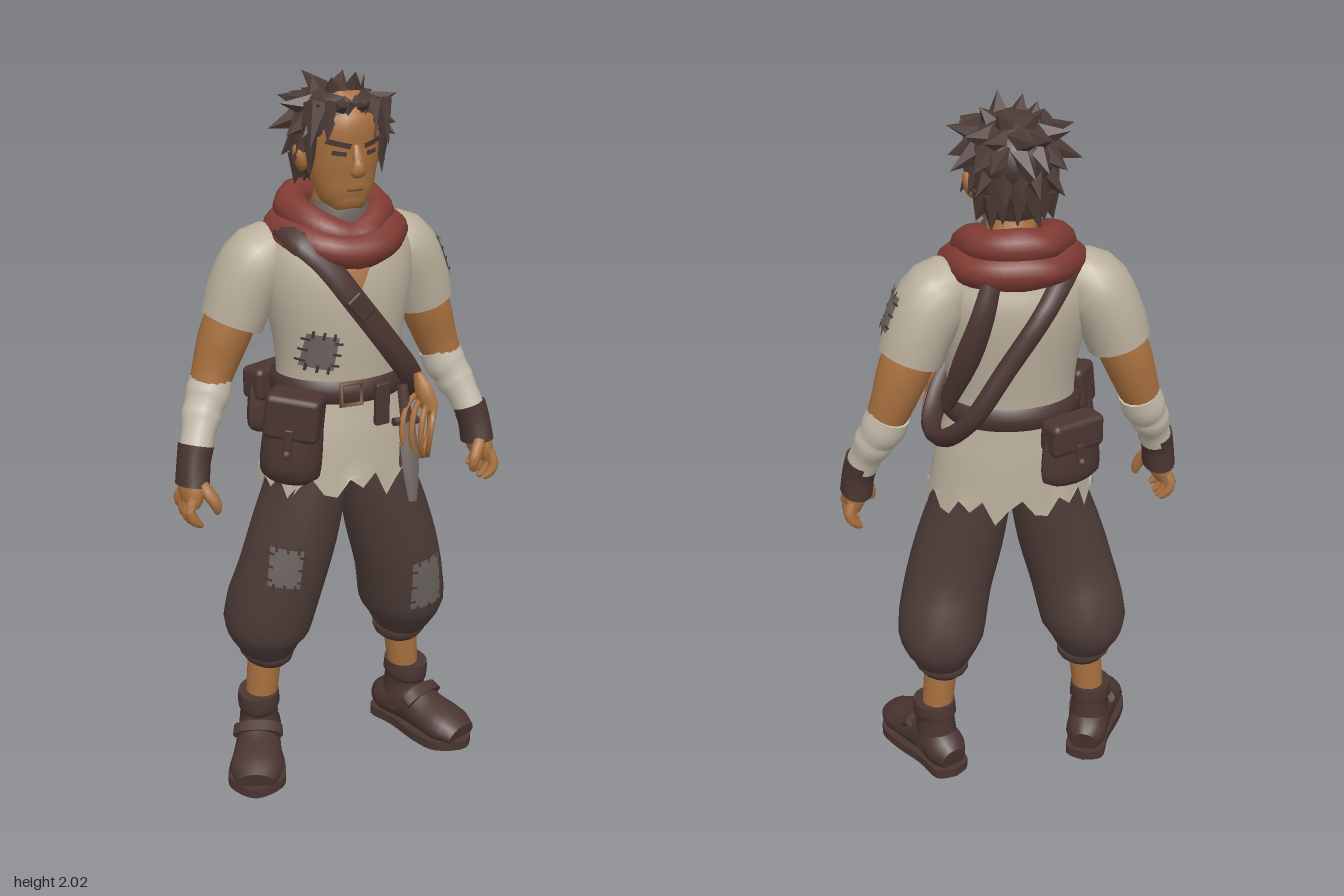
import * as THREE from 'three';
import { toCreasedNormals } from 'three/addons/utils/BufferGeometryUtils.js';
import { RoundedBoxGeometry } from 'three/addons/geometries/RoundedBoxGeometry.js';

const V = (x, y, z) => new THREE.Vector3(x, y, z);
const mat = (name, color) => {
  const m = new THREE.MeshStandardMaterial({ color, side: THREE.DoubleSide });
  m.name = name;
  return m;
};

// Elliptical cross-sections swept along a curve; each row is [x, y, z, side radius, ref radius]
function loft(rows, { n = 16, steps = 3, ref = V(0, 0, 1), closed = false, caps = true, jag = null } = {}) {
  const path = new THREE.CatmullRomCurve3(rows.map(r => V(r[0], r[1], r[2])), closed);
  const radii = new THREE.CatmullRomCurve3(rows.map(r => V(r[3], r[4] ?? r[3], 0)), closed, 'catmullrom');
  const total = (closed ? rows.length : rows.length - 1) * steps;
  const pos = [], idx = [];
  for (let i = 0; i <= total; i++) {
    const p = path.getPoint(i / total), r = radii.getPoint(i / total), t = path.getTangent(i / total);
    const b = (typeof ref === 'function' ? ref(p) : ref.clone()).addScaledVector(t, 0);
    b.addScaledVector(t, -b.dot(t)).normalize();
    const a = b.clone().cross(t);
    for (let j = 0; j < n; j++) {
      const w = j / n * Math.PI * 2;
      const q = p.clone().addScaledVector(a, Math.cos(w) * Math.max(r.x, 0.002)).addScaledVector(b, Math.sin(w) * Math.max(r.y, 0.002));
      if (jag && i === 0) q.y += jag[j % jag.length];
      pos.push(q.x, q.y, q.z);
    }
  }
  for (let i = 0; i < total; i++) for (let j = 0; j < n; j++) {
    const k = (j + 1) % n, A = i * n + j, B = i * n + k, C = A + n, D = B + n;
    idx.push(A, B, D, A, D, C);
  }
  if (caps && !closed) for (let j = 1; j < n - 1; j++) {
    idx.push(0, j + 1, j, total * n, total * n + j, total * n + j + 1);
  }
  const g = new THREE.BufferGeometry();
  g.setAttribute('position', new THREE.Float32BufferAttribute(pos, 3));
  g.setIndex(idx);
  return toCreasedNormals(g, 0.9);
}

export function createModel() {
  const model = new THREE.Group();
  const skin = mat('skin', 0xa9713f), hairMat = mat('dark hair', 0x4b3a35), cloth = mat('cream cloth', 0xb9ae9b);
  const pantsMat = mat('brown trousers', 0x4d3c38), leather = mat('leather', 0x4a3531), red = mat('red scarf cloth', 0x7f3b33);
  const grey = mat('grey patch cloth', 0x6c645f), ropeMat = mat('rope', 0xa9703d), wrapMat = mat('pale wrap', 0xc6bdad);
  const brass = mat('dull brass', 0x6b4d36);
  const add = (name, geo, m, parent = model) => {
    const mesh = new THREE.Mesh(geo, m);
    mesh.name = name;
    parent.add(mesh);
    return mesh;
  };
  const mir = (rows, s) => rows.map(([x, ...r]) => [x * s, ...r]);

  // Thin plate laid on a surface: a small grid projected along dir
  function patch(name, target, c, dir, w, h, roll, m, { foot = 1, lift = 0.005, stitch = false } = {}) {
    const d = dir.clone().normalize(), N = 6;
    const u = d.clone().cross(V(0, 1, 0)).normalize().applyAxisAngle(d, -roll), v = u.clone().cross(d);
    const ray = new THREE.Raycaster(), g = new THREE.PlaneGeometry(1, 1, N, N), p = g.attributes.position;
    const centre = c.clone().addScaledVector(d, -0.4);
    let last = 0.4;
    for (let i = 0; i < p.count; i++) {
      const y = p.getY(i), x = p.getX(i) * (foot + (1 - foot) * (y + 0.5));
      const o = centre.clone().addScaledVector(u, x * w).addScaledVector(v, y * h);
      ray.set(o, d);
      const hit = ray.intersectObject(target)[0];
      if (hit) last = hit.distance;
      o.addScaledVector(d, last - lift);
      p.setXYZ(i, o.x, o.y, o.z);
    }
    g.computeVertexNormals();
    add(name, g, m);
    if (stitch) for (const s of [-1, 1]) for (const k of [-0.33, 0, 0.33]) {
      const side = c.clone().addScaledVector(u, s * w / 2).addScaledVector(v, k * h);
      const edge = c.clone().addScaledVector(v, s * h / 2).addScaledVector(u, k * w);
      patch('stitch', target, side, d, 0.022, 0.007, roll, leather, { lift: 0.009 });
      patch('stitch', target, edge, d, 0.007, 0.022, roll, leather, { lift: 0.009 });
    }
  }

  // Shirt with torn hem
  const shirt = add('shirt', loft([[0, 0.885, -0.01, 0.24, 0.17], [0, 1.05, -0.015, 0.212, 0.16], [0, 1.18, -0.02, 0.178, 0.145],
    [0, 1.3, -0.022, 0.182, 0.155], [0, 1.45, -0.03, 0.212, 0.165], [0, 1.55, -0.045, 0.215, 0.15],
    [0, 1.62, -0.06, 0.17, 0.11], [0, 1.66, -0.06, 0.09, 0.08]],
  { n: 40, caps: false, jag: [0, 0.05, 0.02, 0.06, -0.015, 0.03, 0.06, 0.01] }), cloth);
  add('hips', loft([[0, 0.9, -0.005, 0.1, 0.1], [0, 0.97, -0.005, 0.2, 0.14], [0, 1.12, -0.01, 0.17, 0.13]]), pantsMat);
  patch('neckline', shirt, V(-0.01, 1.5, 0.2), V(0, 0, -1), 0.11, 0.11, 0, skin, { foot: 0 });
  patch('shirtPatch', shirt, V(-0.105, 1.3, 0.2), V(0, 0, -1), 0.08, 0.095, -0.15, grey, { stitch: true });

  const legs = {}, sleeves = {};
  for (const s of [1, -1]) {
    // Arms
    sleeves[s] = add('sleeve', loft(mir([[0.12, 1.56, -0.06, 0.06], [0.2, 1.53, -0.07, 0.095, 0.1], [0.25, 1.455, -0.08, 0.095, 0.105],
      [0.285, 1.36, -0.085, 0.088, 0.1]], s), { n: 20 }), cloth);
    add('arm', loft(mir([[0.26, 1.42, -0.085, 0.068, 0.075], [0.305, 1.32, -0.09, 0.07, 0.076], [0.338, 1.23, -0.09, 0.06, 0.064],
      [0.365, 1.16, -0.08, 0.052, 0.056]], s)), skin);
    add('forearmWrap', loft(mir([[0.346, 1.2, -0.09, 0.058, 0.062], [0.363, 1.155, -0.08, 0.062, 0.064], [0.38, 1.125, -0.068, 0.054, 0.057],
      [0.388, 1.105, -0.062, 0.056, 0.058], [0.405, 1.065, -0.042, 0.046, 0.05], [0.42, 1.02, -0.025, 0.046, 0.05]], s)), wrapMat);
    add('handCuff', loft(mir([[0.418, 1.035, -0.026, 0.049, 0.054], [0.43, 0.99, -0.015, 0.046, 0.052], [0.438, 0.93, -0.006, 0.046, 0.062]], s)), leather);
    add('palm', loft(mir([[0.436, 0.95, -0.008, 0.034, 0.055], [0.444, 0.91, 0, 0.033, 0.06], [0.45, 0.88, 0, 0.022, 0.055]], s)), skin);
    for (let f = 0; f < 4; f++) {
      const z = -0.045 + f * 0.03, drop = [0.015, 0.003, 0, 0.008][f];
      add('finger', loft(mir([[0.45, 0.91, z * 0.9, 0.016], [0.465, 0.865 + drop, z * 1.15, 0.0155],
        [0.452, 0.835 + drop, z * 1.2, 0.014], [0.432, 0.82 + drop, z * 1.15, 0.007]], s), { n: 8, steps: 2 }), skin);
    }
    add('thumb', loft(mir([[0.425, 0.94, 0.035, 0.019], [0.402, 0.905, 0.058, 0.018], [0.392, 0.88, 0.062, 0.015], [0.39, 0.86, 0.06, 0.007]], s), { n: 8, steps: 2 }), skin);

    // Legs
    legs[s] = add('trouserLeg', loft(mir([[0.095, 1.04, -0.01, 0.1, 0.13], [0.105, 0.9, 0, 0.108, 0.137], [0.143, 0.75, 0, 0.123, 0.135],
      [0.185, 0.6, -0.01, 0.126, 0.135], [0.216, 0.45, -0.045, 0.125, 0.142], [0.216, 0.375, -0.05, 0.088, 0.105],
      [0.215, 0.335, -0.052, 0.062, 0.07]], s), { n: 20 }), pantsMat);
    add('trouserCuff', loft(mir([[0.215, 0.36, -0.052, 0.08, 0.088], [0.217, 0.34, -0.052, 0.078, 0.086], [0.22, 0.32, -0.053, 0.06, 0.068]], s)), pantsMat);
    add('ankle', loft(mir([[0.217, 0.36, -0.055, 0.05, 0.053], [0.235, 0.17, -0.058, 0.045, 0.048]], s)), skin);

    // Boots, toes turned out
    const boot = new THREE.Group();
    boot.name = 'boot';
    boot.position.set(0.24 * s, 0, -0.06);
    boot.rotation.y = 0.4 * s;
    model.add(boot);
    add('bootShaft', loft([[0, 0.215, 0.005, 0.06, 0.07], [0, 0.175, 0.003, 0.062, 0.072], [0, 0.16, 0, 0.055, 0.064], [0, 0.06, 0, 0.064, 0.08]]), leather, boot);
    add('bootFoot', loft([[0, 0.055, -0.1, 0.04, 0.04], [0, 0.065, -0.06, 0.062, 0.06], [0, 0.08, 0.02, 0.062, 0.075], [0, 0.063, 0.1, 0.07, 0.058],
      [0, 0.052, 0.18, 0.078, 0.047], [0, 0.04, 0.235, 0.055, 0.032]], { ref: V(0, 1, 0) }), leather, boot);
    add('bootStrap', loft([[0, 0.12, 0.055, 0.072, 0.03], [0, 0.105, 0.085, 0.074, 0.03]], { ref: V(0, 1, 0) }), leather, boot);
    const sole = new THREE.Shape(new THREE.SplineCurve([[0, 0.115], [0.055, 0.09], [0.06, 0], [0.082, -0.12], [0.075, -0.2], [0, -0.255],
      [-0.075, -0.2], [-0.082, -0.12], [-0.06, 0], [-0.055, 0.09], [0, 0.115]].map(q => new THREE.Vector2(...q))).getPoints(40));
    add('bootSole', new THREE.ExtrudeGeometry(sole, { depth: 0.028, bevelEnabled: false }).rotateX(-Math.PI / 2), leather, boot);
  }
  patch('sleevePatch', sleeves[1], V(0.35, 1.495, -0.07), V(-1, -0.3, 0), 0.1, 0.1, 0.05, grey, { stitch: true });
  patch('rightThighPatch', legs[-1], V(-0.222, 0.685, 0.15), V(0.2, 0, -1), 0.09, 0.115, -0.12, grey, { stitch: true });
  patch('leftKneePatch', legs[1], V(0.24, 0.555, 0.15), V(-0.35, 0, -1), 0.105, 0.16, 0.1, grey, { stitch: true });

  // Head and face
  add('neck', loft([[0, 1.58, -0.05, 0.075], [0, 1.74, -0.01, 0.062]]), skin);
  const head = add('head', loft([[0, 1.668, 0.06, 0.035, 0.03], [0, 1.695, 0.042, 0.066, 0.06], [0, 1.75, 0.016, 0.087, 0.09], [0, 1.82, 0, 0.098, 0.108],
    [0, 1.9, -0.01, 0.1, 0.116], [0, 1.965, -0.02, 0.06, 0.07]], { n: 24 }), skin);
  add('nose', loft([[0, 1.845, 0.1, 0.01, 0.01], [0, 1.8, 0.112, 0.014, 0.016], [0, 1.778, 0.115, 0.021, 0.016], [0, 1.765, 0.104, 0.012, 0.008]], { n: 8 }), skin);
  patch('mouth', head, V(0, 1.727, 0.15), V(0, 0, -1), 0.045, 0.006, 0, brass);
  for (const s of [1, -1]) {
    patch('eyebrow', head, V(0.047 * s, 1.85, 0.15), V(0, 0, -1), 0.058, 0.014, 0.22 * s, hairMat, { lift: 0.008 });
    patch('eye', head, V(0.045 * s, 1.825, 0.15), V(0, 0, -1), 0.034, 0.012, 0.1 * s, hairMat);
    const ear = add('ear', new THREE.SphereGeometry(1, 10, 8), skin);
    ear.scale.set(0.017, 0.038, 0.026);
    ear.position.set(0.109 * s, 1.8, -0.02);
    ear.rotation.z = -0.25 * s;
  }

  // Tousled hair: a cap and rows of pointed locks
  const hair = new THREE.Group();
  hair.name = 'hair';
  model.add(hair);
  const cap = add('hairCap', new THREE.SphereGeometry(1, 18, 12), hairMat, hair);
  cap.scale.set(0.12, 0.1, 0.138);
  cap.position.set(0, 1.886, -0.032);
  cap.rotation.x = -0.12;
  add('hairNape', loft([[0, 1.725, -0.07, 0.06, 0.045], [0, 1.79, -0.07, 0.1, 0.07], [0, 1.88, -0.06, 0.115, 0.09]]), hairMat, hair);
  const lock = (p, d, len, r) => {
    d.normalize();
    const m = add('hairLock', toCreasedNormals(new THREE.ConeGeometry(r, len, 5), 0.5), hairMat, hair);
    m.quaternion.setFromUnitVectors(V(0, 1, 0), d);
    m.position.copy(p).addScaledVector(d, len * 0.4);
  };
  // rows: height angle, count, angular half-spread from the back, lock length, droop
  for (const [el, count, spread, len, droop] of [[1.05, 6, 2.6, 0.07, 0.1], [0.6, 11, 2.85, 0.085, 0.4], [0.15, 11, 2.2, 0.085, 0.6], [-0.4, 9, 1.75, 0.085, 1.0], [-0.95, 7, 1.3, 0.08, 1.6]])
    for (let i = 0; i < count; i++) {
      const a = (i / (count - 1) * 2 - 1) * spread, o = V(Math.sin(a) * Math.cos(el), Math.sin(el), -Math.cos(a) * Math.cos(el));
      const base = el < -0.5 ? V(Math.sin(a) * 0.085, 1.785, -0.07 - Math.cos(a) * 0.05) : V(o.x * 0.1, 1.885 + o.y * 0.085, -0.035 + o.z * 0.11);
      lock(base, V(o.x + 0.35 * Math.sin(i * 2.3), o.y - droop, o.z), len + 0.012 * Math.sin(i * 4.1), 0.037);
    }
  for (const [x, len] of [[-0.09, 0.12], [-0.055, 0.1], [-0.015, 0.08], [0.025, 0.085], [0.06, 0.1], [0.092, 0.12]])
    lock(V(x, 1.935, 0.075 - Math.abs(x) * 0.3), V(x * 2.2 - 0.15, -1, 0.45), len, 0.034);
  for (const s of [1, -1]) lock(V(0.098 * s, 1.86, 0.035), V(0.05 * s, -1, 0), 0.12, 0.026);

  // Scarf in two tilted coils over a dark collar
  const coil = (rx, rz, cz, y, rise, a, b) => loft(Array.from({ length: 14 }, (_, i) => {
    const t = i / 14 * Math.PI * 2, k = 1 + 0.1 * Math.sin(i * 2.6);
    return [rx * Math.sin(t), y + rise * Math.sin(t / 2), cz + rz * Math.cos(t), a * k, b / k];
  }), { closed: true, ref: V(0, 1, 0), n: 12 });
  add('scarfLower', coil(0.142, 0.135, -0.04, 1.562, 0.05, 0.055, 0.05), red);
  add('scarfUpper', coil(0.115, 0.118, -0.052, 1.592, 0.085, 0.046, 0.046), red);
  add('collar', loft([[0, 1.58, -0.03, 0.1, 0.1], [0, 1.645, -0.015, 0.088, 0.088], [0, 1.685, -0.02, 0.078, 0.08]], { caps: false }), grey);

  // Belt and shoulder strap
  add('belt', loft(Array.from({ length: 16 }, (_, i) => {
    const t = i / 16 * Math.PI * 2;
    return [0.184 * Math.sin(t), 1.185, -0.02 + 0.153 * Math.cos(t), 0.011, 0.033];
  }), { closed: true, ref: V(0, 1, 0), n: 8 }), leather);
  const buckle = add('beltBuckle', new THREE.TorusGeometry(0.042, 0.008, 6, 4).rotateZ(Math.PI / 4), brass);
  buckle.position.set(-0.03, 1.185, 0.146);
  add('shoulderStrap', loft([[-0.15, 1.6, 0.07, 0.034, 0.014], [-0.09, 1.54, 0.118, 0.035, 0.014], [-0.01, 1.43, 0.146, 0.035, 0.014], [0.09, 1.3, 0.136, 0.036, 0.016],
    [0.175, 1.19, 0.09, 0.036, 0.02], [0.222, 1.11, -0.01, 0.034, 0.022], [0.208, 1.125, -0.12, 0.03, 0.022], [0.145, 1.21, -0.205, 0.027, 0.02],
    [0.05, 1.36, -0.22, 0.027, 0.02], [-0.06, 1.52, -0.21, 0.028, 0.018], [-0.15, 1.62, -0.09, 0.034, 0.014]],
  { closed: true, n: 10, steps: 4, ref: p => p.clone().sub(V(0, 1.35, -0.03)) }), leather);
  const clasp = add('strapBuckle', new RoundedBoxGeometry(0.05, 0.075, 0.02, 2, 0.006), leather);
  clasp.position.set(-0.01, 1.43, 0.158);
  clasp.rotation.z = 0.7;
  add('backStrap', loft([[0.08, 1.6, -0.185, 0.025, 0.015], [0.11, 1.5, -0.2, 0.032, 0.018], [0.15, 1.37, -0.175, 0.036, 0.02], [0.195, 1.22, -0.12, 0.02, 0.014]], { n: 10 }), leather);

  // Pouches
  function pouch(name, x, y, z, yaw, tilt, w, h, d) {
    const g = new THREE.Group();
    g.name = name;
    g.position.set(x, y, z);
    g.rotation.set(0, yaw, tilt, 'YXZ');
    model.add(g);
    add('pouchBody', loft([[0, -h / 2, 0, w * 0.4, d * 0.38], [0, -h * 0.4, 0, w * 0.58, d * 0.58], [0, 0, 0, w * 0.58, d * 0.56], [0, h / 2, 0, w * 0.5, d * 0.4]], { n: 12 }), leather, g);
    const flap = add('pouchFlap', new RoundedBoxGeometry(w * 1.05, h * 0.5, d * 1.05, 2, 0.018), leather, g);
    flap.position.set(0, h * 0.27, 0.005);
    const tab = add('pouchTab', new RoundedBoxGeometry(0.024, h * 0.34, 0.014, 2, 0.004), leather, g);
    tab.position.set(0, 0, d * 0.57);
    const stud = add('pouchStud', new THREE.SphereGeometry(0.009, 8, 6), brass, g);
    stud.position.set(0, -h * 0.1, d * 0.57 + 0.008);
  }
  pouch('frontPouch', -0.19, 1.075, 0.118, -0.61, -0.1, 0.145, 0.25, 0.1);
  pouch('backPouch', -0.135, 1.09, -0.178, -2.73, 0, 0.16, 0.19, 0.075);

  // Coiled rope
  const rope = new THREE.Group();
  rope.name = 'ropeCoil';
  rope.position.set(0.178, 1.07, 0.165);
  rope.rotation.set(0, 0.75, 0, 'YXZ');
  model.add(rope);
  for (let i = 0; i < 4; i++) {
    const ring = add('ropeLoop', new THREE.TorusGeometry(0.07 - i * 0.004, 0.0085, 6, 24), ropeMat, rope);
    ring.scale.set(0.88, 1.2, 1);
    ring.position.set(0.004 * (i - 1.5), -0.006 * i, 0.013 * (i - 1.5));
    ring.rotation.set(0.08 * (i - 1.5), 0.2 * (i - 1.5), 0.15 * (i - 1.5));
  }
  add('ropeTie', loft([[0, 0.05, 0.02, 0.018, 0.026], [0, 0.1, 0, 0.022, 0.028], [0, 0.15, -0.02, 0.012, 0.014]], { n: 8 }), ropeMat, rope);

  // Knife hanging in front
  add('knifeBlade', loft([[0.125, 1.1, 0.165, 0.025, 0.011], [0.124, 0.97, 0.2, 0.025, 0.01], [0.122, 0.875, 0.222, 0.012, 0.006]], { n: 6 }), grey);
  add('knifeHilt', loft([[0.122, 1.19, 0.142, 0.016, 0.013], [0.125, 1.09, 0.168, 0.018, 0.015]], { n: 8 }), leather);
  add('knifeGuard', loft([[0.085, 1.095, 0.168, 0.012], [0.16, 1.09, 0.163, 0.012]], { n: 8, steps: 1 }), leather);
  const loop = add('beltLoop', new RoundedBoxGeometry(0.045, 0.12, 0.02, 2, 0.006), leather);
  loop.position.set(0.06, 1.145, 0.145);
  loop.rotation.y = 0.2;
  return model;
}
